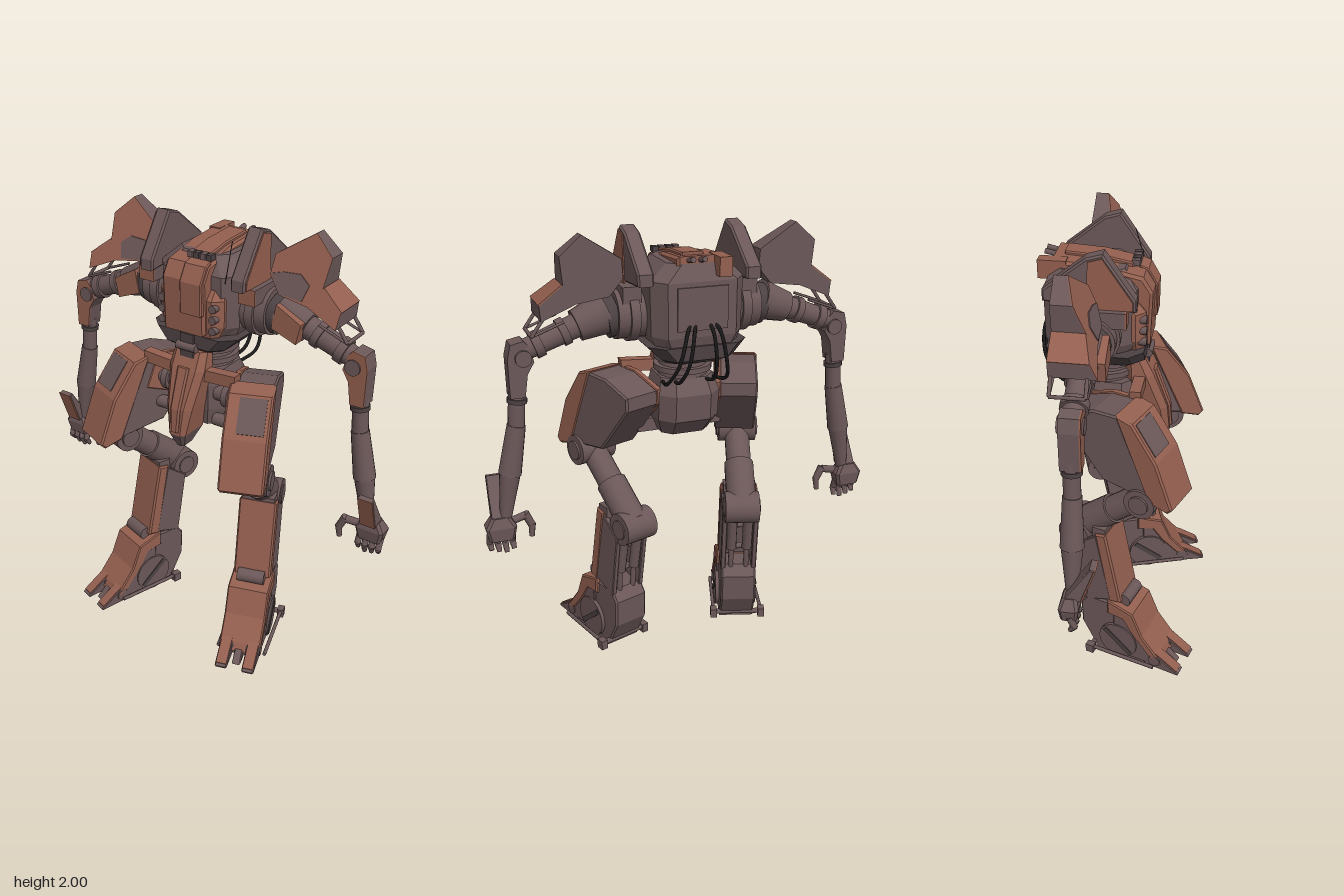
import * as THREE from 'three';

const mat = (name, color) => Object.assign(new THREE.MeshStandardMaterial({ color }), { name });

// cylinder or cone running from a to b
function rod(a, b, r0, r1 = r0, n = 18) {
  const p = new THREE.Vector3(...a), q = new THREE.Vector3(...b), d = q.clone().sub(p);
  const g = new THREE.CylinderGeometry(r1, r0, d.length(), n);
  g.applyQuaternion(new THREE.Quaternion().setFromUnitVectors(new THREE.Vector3(0, 1, 0), d.normalize()));
  return g.translate(...p.add(q).multiplyScalar(0.5).toArray());
}
const axle = (x0, x1, y, z, r, n) => rod([x0, y, z], [x1, y, z], r, r, n);
const box = (x0, x1, y0, y1, z0, z1) =>
  new THREE.BoxGeometry(x1 - x0, y1 - y0, z1 - z0).translate((x0 + x1) / 2, (y0 + y1) / 2, (z0 + z1) / 2);
const shapeOf = pts => new THREE.Shape(pts.map(p => new THREE.Vector2(...p)));

// side outline [z, y] given a width along x, with chamfered edges
function side(pts, w, cx = 0, b = 0.008) {
  const g = new THREE.ExtrudeGeometry(shapeOf(pts), {
    depth: w - 2 * b, bevelEnabled: b > 0, bevelSize: b, bevelThickness: b, bevelOffset: -b, bevelSegments: 1 });
  return g.translate(0, 0, b).rotateY(-Math.PI / 2).translate(cx + w / 2, 0, 0);
}
// front outline [x, y] whose back and front depth follow a rule of height
function wedge(pts, back, front) {
  const g = new THREE.ExtrudeGeometry(shapeOf(pts), { depth: 1, bevelEnabled: false });
  const p = g.attributes.position;
  for (let i = 0; i < p.count; i++) {
    const y = p.getY(i);
    p.setZ(i, THREE.MathUtils.lerp(back(y), front(y), p.getZ(i)));
  }
  g.computeVertexNormals();
  return g;
}
// chamfered rectangle at height y
const oct = (y, h, z0, z1, c, d = c) => [[-h + c, z1], [h - c, z1], [h, z1 - d], [h, z0 + d],
  [h - c, z0], [-h + c, z0], [-h, z0 + d], [-h, z1 - d]].map(([x, z]) => [x, y, z]);
// closed flat-faced skin through cross-sections listed from bottom to top
function loft(rings) {
  const v = [], n = rings[0].length;
  for (let k = 0; k + 1 < rings.length; k++) for (let i = 0; i < n; i++) {
    const j = (i + 1) % n, [a, b] = [rings[k], rings[k + 1]];
    v.push(a[i], a[j], b[j], a[i], b[j], b[i]);
  }
  const lo = rings[0], hi = rings[rings.length - 1];
  for (let i = 1; i < n - 1; i++) v.push(lo[0], lo[i + 1], lo[i], hi[0], hi[i], hi[i + 1]);
  const g = new THREE.BufferGeometry();
  g.setAttribute('position', new THREE.Float32BufferAttribute(v.flat(), 3));
  g.computeVertexNormals();
  return g;
}
function mirrored(geo) {
  const g = geo.index ? geo.toNonIndexed() : geo.clone();
  g.clearGroups();
  g.scale(-1, 1, 1);
  const idx = [];
  for (let i = 0; i < g.attributes.position.count; i += 3) idx.push(i, i + 2, i + 1);
  g.setIndex(idx);
  return g;
}

export function createModel() {
  const model = new THREE.Group();
  model.name = 'walkingRobot';
  const rust = mat('rust paint', 0x935f4f), grey = mat('worn grey', 0x6b5758);
  const dark = mat('dark metal', 0x4c4143), black = mat('black rubber', 0x1b191a);

  const part = (name, geo, m) => {
    const mesh = new THREE.Mesh(geo, m);
    mesh.name = name;
    model.add(mesh);
  };
  const pair = (name, geo, m) => {
    part('left ' + name, geo, m);
    part('right ' + name, mirrored(geo), m);
  };
  // thigh and lower leg parts are made straight, then turned outward
  const thigh = (name, geo, m) => pair(name, geo.rotateY(0.38).translate(0.305, 0, 0), m);
  const leg = (name, geo, m) => pair(name, geo.rotateY(0.31).translate(0.325, 0, 0), m);

  // ---- torso ----
  part('torso shell', loft([oct(1.5, 0.17, -0.31, 0.03, 0.05), oct(1.57, 0.2, -0.33, 0.06, 0.05, 0.07),
    oct(1.8, 0.205, -0.33, 0.06, 0.055, 0.07), oct(1.87, 0.13, -0.3, 0.0, 0.05)]), grey);
  part('chest armour', loft([oct(1.53, 0.14, -0.02, 0.085, 0.03), oct(1.58, 0.165, -0.02, 0.095, 0.04),
    oct(1.7, 0.165, -0.02, 0.095, 0.04), oct(1.74, 0.15, -0.02, 0.06, 0.03)]), rust);
  part('collar', loft([oct(1.44, 0.12, -0.27, 0.05, 0.05), oct(1.47, 0.16, -0.33, 0.09, 0.05),
    oct(1.53, 0.22, -0.33, 0.09, 0.06)]), dark);
  part('cockpit hatch', side([[0.05, 1.54], [0.11, 1.54], [0.12, 1.78], [0.08, 1.845], [-0.1, 1.885], [-0.3, 1.9],
    [-0.3, 1.82], [0.0, 1.75]], 0.215, -0.007, 0.012), rust);
  part('hatch panel', side([[0.1, 1.63], [0.128, 1.635], [0.13, 1.775], [0.09, 1.845], [0.05, 1.86], [0.05, 1.8]],
    0.11, 0.04, 0.005), rust);
  part('roof panel', side([[0.03, 1.83], [0.03, 1.875], [-0.1, 1.9], [-0.26, 1.91], [-0.26, 1.86]],
    0.1, 0.02, 0.006), rust);
  part('roof block', box(-0.115, -0.06, 1.82, 1.9, -0.36, -0.24), rust);
  for (let i = 0; i < 4; i++)
    part('sensor', box(-0.025 + i * 0.032, i * 0.032, 1.86, 1.885, 0.02, 0.055), i % 2 ? dark : grey);
  for (const x of [0.0, 0.05]) part('exhaust', rod([x, 1.87, -0.24], [x, 1.895, -0.35], 0.01, 0.012, 8), grey);
  for (let i = 0; i < 3; i++)
    pair('chest bolt', rod([0.132, 1.57 + i * 0.05, 0.06], [0.132, 1.57 + i * 0.05, 0.1], 0.018, 0.018, 12), grey);
  part('back panel', box(-0.11, 0.11, 1.6, 1.78, -0.337, -0.32), grey);
  part('aerial', rod([0.17, 1.78, 0.06], [0.17, 1.95, 0.01], 0.002, 0.002, 6), dark);

  // ---- back cables ----
  for (const x of [-0.07, -0.04, 0.04, 0.07]) {
    const path = [[x * 0.7, 1.63, -0.32], [x, 1.6, -0.345], [x * 1.5, 1.46, -0.345], [x * 1.9, 1.36, -0.27],
      [x * 1.6, 1.33, -0.14]].map(p => new THREE.Vector3(...p));
    part('back cable', new THREE.TubeGeometry(new THREE.CatmullRomCurve3(path), 24, 0.008, 8), black);
  }

  // ---- waist and pelvis ----
  part('waist', rod([0, 1.28, -0.09], [0, 1.46, -0.09], 0.12, 0.1, 20), grey);
  for (const y of [1.37, 1.42]) part('waist ring', rod([0, y, -0.09], [0, y + 0.025, -0.09], 0.13, 0.13, 20), grey);
  part('waist joint', box(-0.035, 0.035, 1.42, 1.53, 0.0, 0.1), dark);
  part('waist joint pin', axle(-0.05, 0.05, 1.47, 0.095, 0.02, 12), grey);
  part('pelvis shell', loft([oct(1.08, 0.11, -0.16, 0.04, 0.04), oct(1.16, 0.14, -0.23, 0.05, 0.06),
    oct(1.28, 0.14, -0.24, 0.05, 0.06), oct(1.35, 0.12, -0.2, 0.04, 0.05)]), grey);
  part('pelvis skirt', box(-0.2, 0.2, 1.07, 1.13, -0.06, -0.005), grey);
  part('pelvis skirt face', box(-0.2, 0.2, 1.07, 1.13, -0.005, 0.002), rust);
  part('prow', loft([oct(1.07, 0.045, 0.02, 0.195, 0.018, 0.02), oct(1.2, 0.068, 0, 0.185, 0.028, 0.03),
    oct(1.37, 0.092, 0, 0.125, 0.03, 0.03), oct(1.45, 0.085, 0, 0.085, 0.025)]), rust);
  part('prow ridge', loft([oct(1.09, 0.02, 0.1, 0.205, 0.008), oct(1.2, 0.026, 0.1, 0.196, 0.008),
    oct(1.38, 0.03, 0.05, 0.132, 0.008)]), rust);
  part('prow tip', loft([oct(1.0, 0.02, 0.08, 0.16, 0.01), oct(1.07, 0.045, 0.02, 0.195, 0.018)]), grey);
  pair('hip wing', wedge([[0.07, 1.32], [0.24, 1.33], [0.245, 1.385], [0.09, 1.375]], () => 0.04, () => 0.09), rust);
  pair('hip axle', axle(0.1, 0.25, 1.24, 0.0, 0.04), grey);
  pair('hip flange', axle(0.15, 0.18, 1.24, 0.0, 0.06), grey);
  pair('lower hip axle', axle(0.1, 0.28, 1.11, 0.02, 0.03), grey);

  // ---- shoulders ----
  pair('shoulder pod', side([[0.07, 1.76], [0.07, 1.81], [-0.06, 2.0], [-0.13, 1.98], [-0.31, 1.84], [-0.31, 1.79]],
    0.07, 0.235), grey);
  pair('pod outer face', side([[0.06, 1.77], [0.06, 1.805], [-0.062, 1.985], [-0.12, 1.968], [-0.13, 1.77]],
    0.006, 0.272, 0), rust);
  pair('pod mount', box(0.22, 0.3, 1.7, 1.77, -0.2, 0.03), grey);
  pair('pod mount face', box(0.22, 0.3, 1.7, 1.77, 0.03, 0.037), rust);
  pair('shoulder drum', axle(0.14, 0.32, 1.64, -0.11, 0.105, 24), grey);
  pair('shoulder ring', axle(0.23, 0.27, 1.64, -0.11, 0.118, 24), grey);
  pair('shoulder cap', rod([0.31, 1.64, -0.11], [0.36, 1.63, -0.11], 0.09, 0.09, 20), dark);
  const slope = y => -0.02 - (y - 1.65) * 0.4;
  const outline = [[0.468, 1.995], [0.305, 1.89], [0.3, 1.81], [0.36, 1.74], [0.5, 1.72], [0.645, 1.66],
    [0.65, 1.725], [0.55, 1.8], [0.56, 1.915]];
  pair('shoulder shield', wedge(outline, () => -0.21, slope), grey);
  pair('shield face', wedge(outline, slope, y => slope(y) + 0.004), rust);
  pair('shield outer roof', wedge([[0.65, 1.725], [0.654, 1.73], [0.554, 1.805], [0.55, 1.8]],
    () => -0.21, y => slope(y) + 0.004), rust);
  pair('shield patch', wedge([[0.305, 1.815], [0.36, 1.745], [0.47, 1.735], [0.49, 1.8], [0.44, 1.835], [0.36, 1.83]],
    slope, y => slope(y) + 0.008), grey);
  for (const z of [-0.06, -0.2]) {
    pair('guard bar', rod([0.62, 1.69, z], [0.685, 1.6, z], 0.008, 0.008, 8), grey);
    pair('guard brace', rod([0.685, 1.6, z], [0.55, 1.65, z], 0.006, 0.006, 8), grey);
  }
  pair('guard end bar', rod([0.685, 1.6, -0.2], [0.685, 1.6, -0.06], 0.008, 0.008, 8), grey);

  // ---- arms ----
  const Z = -0.11;
  const limb = (name, a, b, r0, r1, m) => pair(name, rod([...a, Z], [...b, Z], r0, r1), m);
  limb('upper arm sleeve', [0.35, 1.65], [0.48, 1.605], 0.09, 0.068, grey);
  pair('upper arm panel', wedge([[0.35, 1.6], [0.47, 1.555], [0.49, 1.645], [0.37, 1.71]],
    () => -0.07, () => -0.018), rust);
  limb('upper arm', [0.47, 1.61], [0.71, 1.52], 0.052, 0.045, grey);
  limb('upper arm collar', [0.52, 1.592], [0.55, 1.58], 0.06, 0.06, grey);
  limb('upper arm cuff', [0.63, 1.55], [0.665, 1.537], 0.058, 0.058, grey);
  const elbow = [[0.69, 1.55], [0.71, 1.572], [0.765, 1.56], [0.78, 1.5], [0.778, 1.33], [0.715, 1.33],
    [0.7, 1.43], [0.67, 1.48]];
  pair('elbow housing', wedge(elbow, () => -0.152, () => -0.072), grey);
  pair('elbow face', wedge(elbow, () => -0.072, () => -0.065), rust);
  pair('elbow joint', rod([0.715, 1.5, -0.165], [0.715, 1.5, -0.058], 0.035), grey);
  limb('forearm upper', [0.743, 1.36], [0.757, 1.17], 0.036, 0.036, grey);
  limb('forearm ring', [0.744, 1.32], [0.746, 1.3], 0.043, 0.043, dark);
  limb('forearm swell', [0.755, 1.2], [0.797, 0.98], 0.04, 0.05, grey);
  limb('forearm lower', [0.797, 0.98], [0.83, 0.77], 0.046, 0.026, grey);
  pair('wrist blade', side([[-0.004, 0.94], [-0.025, 0.945], [-0.14, 0.77], [-0.064, 0.77]], 0.072, 0.855, 0.004), grey);
  pair('wrist blade face', side([[0.001, 0.94], [-0.006, 0.94], [-0.066, 0.77], [-0.059, 0.77]], 0.07, 0.855, 0), rust);

  // ---- hands ----
  pair('palm', loft([oct(0.68, 0.055, -0.15, -0.08, 0.012), oct(0.74, 0.068, -0.155, -0.07, 0.012),
    oct(0.785, 0.04, -0.14, -0.08, 0.012)]).translate(0.855, 0, 0), grey);
  for (let i = 0; i < 4; i++) {
    const x = 0.805 + i * 0.033, low = 0.6 + Math.abs(i - 1.2) * 0.012;
    pair('finger', rod([x, 0.7, -0.11], [x, 0.645, -0.09], 0.016, 0.015, 8), grey);
    pair('fingertip', rod([x, 0.65, -0.09], [x - 0.004, low, -0.11], 0.016, 0.011, 8), grey);
  }
  pair('thumb base', rod([0.81, 0.745, -0.1], [0.74, 0.755, -0.08], 0.018, 0.018, 8), grey);
  pair('thumb middle', rod([0.74, 0.765, -0.08], [0.71, 0.7, -0.08], 0.019, 0.017, 8), grey);
  pair('thumb tip', rod([0.71, 0.71, -0.08], [0.715, 0.65, -0.085], 0.017, 0.012, 8), grey);

  // ---- thighs ----
  thigh('thigh front armour', side([[0.04, 1.36], [0.12, 1.34], [0.235, 1.18], [0.315, 0.97], [0.29, 0.945],
    [0.2, 0.97]], 0.2, -0.008), rust);
  thigh('thigh rear shell', side([[0.05, 1.353], [0.21, 0.975], [-0.03, 1.01], [-0.22, 1.24], [-0.22, 1.3],
    [-0.07, 1.35]], 0.19, -0.008), grey);
  thigh('thigh inner panel', side([[0.0, 1.357], [-0.07, 1.356], [-0.225, 1.305], [-0.225, 1.24], [-0.12, 1.13],
    [0.06, 1.2]], 0.03, -0.092, 0.004), rust);
  thigh('thigh patch', side([[0.13, 1.332], [0.223, 1.204], [0.218, 1.199], [0.124, 1.327]], 0.12, 0.01, 0), grey);

  // ---- lower legs ----
  leg('knee drum', axle(-0.09, 0.09, 0.95, 0.145, 0.072, 24), grey);
  leg('knee hub', axle(-0.1, 0.1, 0.95, 0.145, 0.045), grey);
  leg('knee strut', rod([0, 0.95, 0.145], [0, 0.68, -0.19], 0.06, 0.06), grey);
  leg('knee strut sleeve', rod([0, 0.82, -0.016], [0, 0.68, -0.19], 0.07, 0.07), grey);
  leg('hock drum', axle(-0.08, 0.08, 0.67, -0.19, 0.075, 24), grey);
  leg('hock hub', axle(-0.086, 0.086, 0.67, -0.19, 0.045), grey);
  leg('shin armour', side([[-0.02, 0.72], [0.055, 0.34], [-0.005, 0.33], [-0.075, 0.71]], 0.18), rust);
  leg('shin inner plate', side([[-0.07, 0.7], [0.0, 0.34], [-0.02, 0.33], [-0.09, 0.69]], 0.15), grey);
  leg('shin top guard', box(-0.078, 0.078, 0.69, 0.74, -0.09, -0.025), grey);
  for (const x of [-0.075, 0.075]) {
    leg('shin rail', side([[-0.07, 0.7], [0.005, 0.34], [-0.13, 0.3], [-0.18, 0.62]], 0.025, x, 0.004), grey);
    leg('shin piston', rod([x * 0.5, 0.64, -0.17], [x * 0.5, 0.42, -0.13], 0.024, 0.024, 12), grey);
    leg('shin piston rod', rod([x * 0.5, 0.43, -0.13], [x * 0.5, 0.25, -0.11], 0.013, 0.013, 10), grey);
  }
  for (const y of [0.42, 0.55]) leg('shin cross bar', axle(-0.07, 0.07, y, -0.11 - (y - 0.42) * 0.2, 0.015, 10), grey);

  // ---- feet ----
  leg('ankle roller', axle(-0.065, 0.065, 0.34, 0.06, 0.033, 14), grey);
  leg('foot armour', side([[-0.01, 0.34], [0.12, 0.3], [0.17, 0.18], [0.25, 0.08], [0.27, 0.04], [0.2, 0.075],
    [0.12, 0.17], [0.07, 0.25], [-0.01, 0.26]], 0.2, 0, 0.006), rust);
  leg('foot body', side([[0.02, 0.28], [0.08, 0.26], [0.13, 0.17], [0.21, 0.09], [0.26, 0.045], [0.26, 0.02],
    [0.02, 0.02]], 0.19, 0, 0.004), grey);
  leg('heel shell', side([[0.04, 0.32], [0.1, 0.03], [-0.09, 0.02], [-0.155, 0.14], [-0.16, 0.27], [-0.12, 0.32]],
    0.17), grey);
  leg('ankle disc', axle(-0.102, 0.102, 0.105, 0.045, 0.098, 28), grey);
  leg('disc bar', box(-0.107, 0.107, -0.012, 0.012, -0.088, 0.088).rotateX(0.7).translate(0, 0.105, 0.045), dark);
  for (const x of [-0.065, 0.065]) {
    leg('toe', side([[0.2, 0.11], [0.27, 0.07], [0.36, 0.012], [0.355, 0], [0.18, 0.005]], 0.058, x, 0.005), grey);
    leg('toe top', side([[0.2, 0.116], [0.272, 0.075], [0.35, 0.024], [0.348, 0.017], [0.27, 0.068], [0.2, 0.108]],
      0.05, x, 0), rust);
    leg('toe knuckle', axle(x - 0.035, x + 0.035, 0.05, 0.235, 0.03, 12), grey);
  }
  leg('centre toe', side([[0.2, 0.07], [0.27, 0.05], [0.32, 0.005], [0.2, 0.0]], 0.04, 0, 0.005), grey);
  leg('sole', box(-0.085, 0.085, 0, 0.03, -0.08, 0.24), grey);
  leg('heel bar', axle(-0.11, 0.12, 0.03, -0.09, 0.013, 10), grey);
  for (const x of [-0.115, 0.125]) {
    leg('heel pad', box(x - 0.016, x + 0.016, 0.005, 0.05, -0.11, -0.07), grey);
    leg('foot side rod', rod([x, 0.035, -0.09], [x * 0.95, 0.03, 0.24], 0.009, 0.009, 8), grey);
  }
  return model;
}
